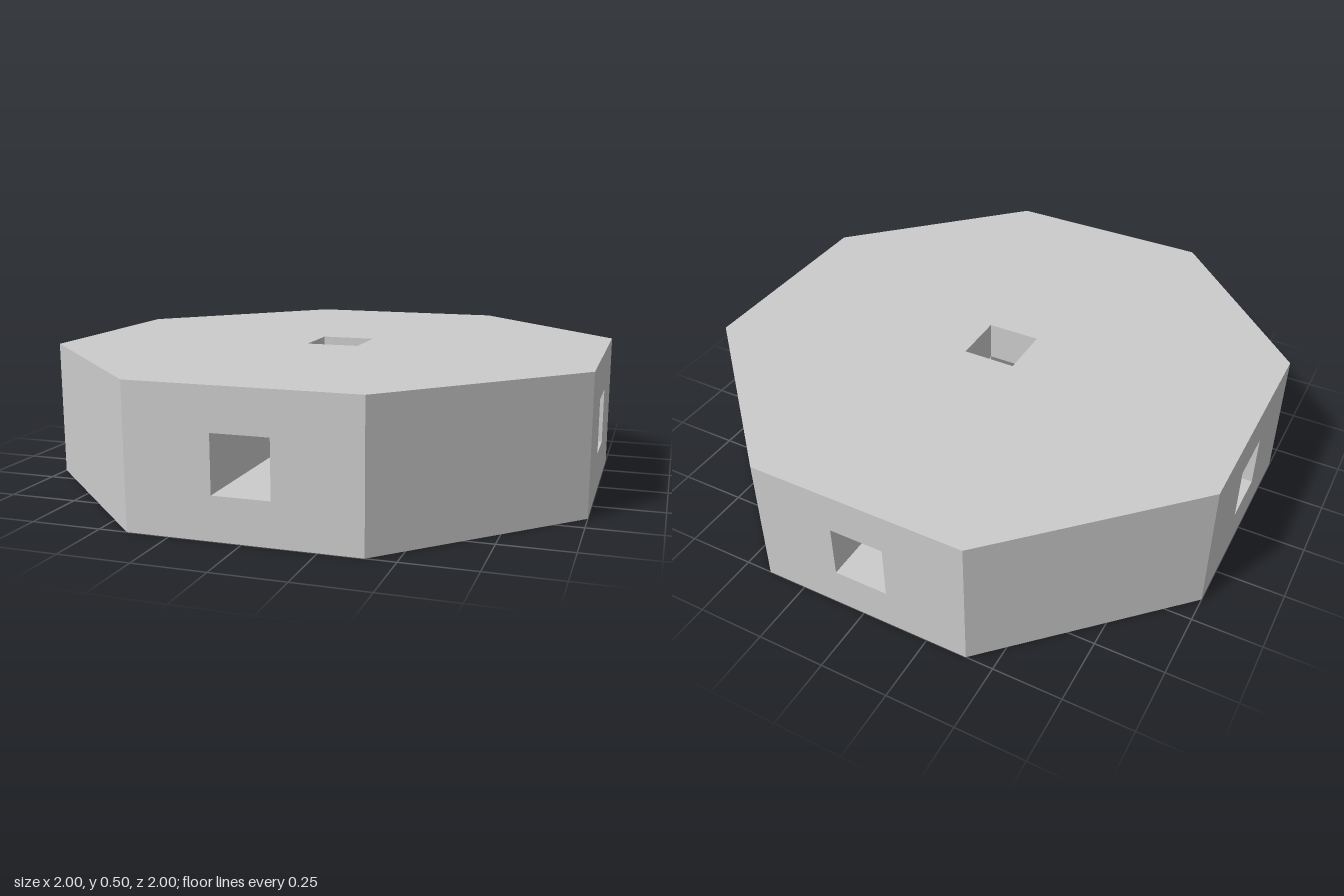
import * as THREE from 'three';

const HEIGHT = 0.5, MID = HEIGHT / 2, BORE = 0.1; // BORE = half width of the square tunnels
const HALF_SIDE = 0.4, HALF_SPAN = 1;

const material = new THREE.MeshStandardMaterial({ color: 0xcccccc, flatShading: true });

function add(group, name, geometry) {
  const mesh = new THREE.Mesh(geometry, material);
  mesh.name = name;
  group.add(mesh);
}

const rectangle = (w, h) => [[-w, -h], [w, -h], [w, h], [-w, h]].map(([x, y]) => new THREE.Vector2(x, y));

// Flat panel facing +z, optionally with the square opening in its middle
function panel(points, open) {
  const shape = new THREE.Shape(points);
  if (open) shape.holes.push(new THREE.Path(rectangle(BORE, BORE)));
  return new THREE.ShapeGeometry(shape);
}

// Square tunnel lining running outward along +y, with faces turned inward
function lining(from, to) {
  const geometry = new THREE.CylinderGeometry(
    BORE * Math.SQRT2, BORE * Math.SQRT2, to - from, 4, 1, true, Math.PI / 4
  ).scale(-1, 1, 1).toNonIndexed();
  geometry.computeVertexNormals();
  return geometry.translate(0, (from + to) / 2, 0);
}

export function createModel() {
  const model = new THREE.Group();
  model.name = 'octagonalBlock';

  // Top and bottom faces
  const a = HALF_SIDE, s = HALF_SPAN;
  const octagon = [[s, -a], [s, a], [a, s], [-a, s], [-s, a], [-s, -a], [-a, -s], [a, -s]]
    .map(([x, y]) => new THREE.Vector2(x, y));
  add(model, 'topFace', panel(octagon, true).rotateX(-Math.PI / 2).translate(0, HEIGHT, 0));
  add(model, 'bottomFace', panel(octagon, true).rotateX(Math.PI / 2));

  // Eight walls: the four axis-aligned ones carry a tunnel opening
  for (let i = 0; i < 8; i++) {
    const open = i % 2 === 0;
    const halfWidth = open ? a : (s - a) / Math.SQRT2;
    const distance = open ? s : (s + a) / Math.SQRT2;
    add(model, open ? 'openWall' : 'cornerWall',
      panel(rectangle(halfWidth, MID), open)
        .translate(0, MID, distance).rotateY(i * Math.PI / 4));
  }

  // Tunnels meet in the middle of the block
  for (let i = 0; i < 4; i++) {
    add(model, 'sideTunnel',
      lining(BORE, HALF_SPAN).rotateX(Math.PI / 2).rotateY(i * Math.PI / 2).translate(0, MID, 0));
  }
  add(model, 'upperTunnel', lining(MID + BORE, HEIGHT));
  add(model, 'lowerTunnel', lining(0, MID - BORE));

  return model;
}
